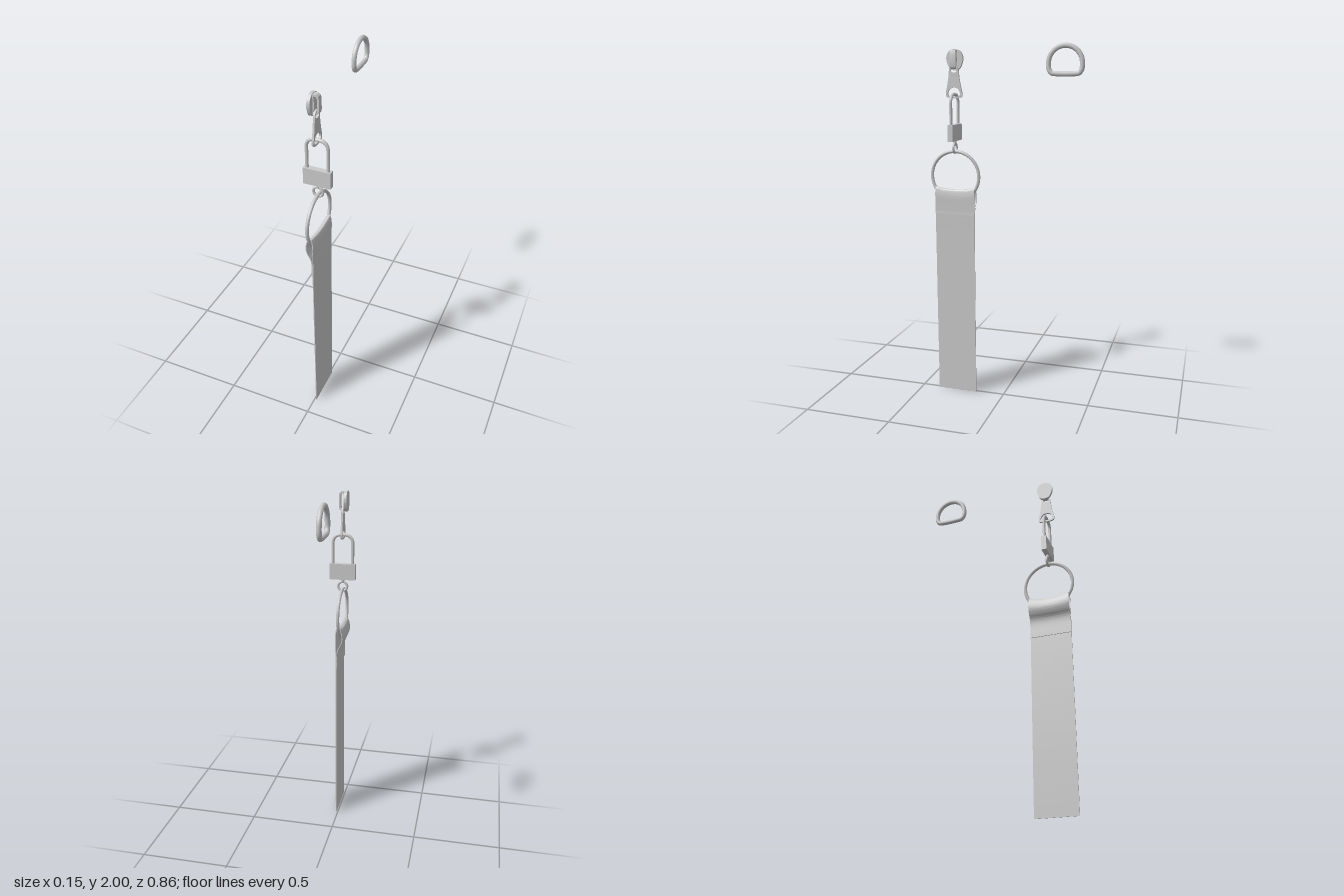
import * as THREE from 'three';
import { toCreasedNormals } from 'three/addons/utils/BufferGeometryUtils.js';

const ZC = 0.281; // depth of the hanging chain of parts
const mat = new THREE.MeshStandardMaterial({ color: 0xcccccc, side: THREE.DoubleSide });

function add(group, name, geometry, x = 0, y = 0, z = 0) {
  const mesh = new THREE.Mesh(geometry, mat);
  mesh.name = name;
  mesh.position.set(x, y, z);
  group.add(mesh);
  return mesh;
}

const vecs = (pts) => pts.map(([x, y]) => new THREE.Vector2(x, y));

// Closed smooth outline through a few points
function outline(pts, Type = THREE.Shape) {
  const curve = new THREE.CatmullRomCurve3(pts.map(([x, y]) => new THREE.Vector3(x, y, 0)), true, 'centripetal');
  return new Type(curve.getPoints(40).slice(0, -1).map((p) => new THREE.Vector2(p.x, p.y)));
}

// Mirror a right-hand half outline to a full loop
const mirrored = (half) => [...half, ...half.filter(([x]) => x > 0).reverse().map(([x, y]) => [-x, y])];

// Plate drawn in (z, y) and extruded along x, centred on x = 0
function sidePlate(shape, thickness) {
  const g = new THREE.ExtrudeGeometry(shape, { depth: thickness, bevelEnabled: false, curveSegments: 10 });
  g.translate(0, 0, -thickness / 2);
  g.rotateY(-Math.PI / 2);
  return toCreasedNormals(g, 0.6);
}

// Fabric strap folded through the large ring, as one bent ribbon
function strapGeometry() {
  const path = new THREE.CatmullRomCurve3([
    [0.01, 0], [0.012, 0.5], [0.014, 1.0], [0.016, 1.12], [0.016, 1.19], [0.008, 1.219],
    [-0.007, 1.213], [-0.018, 1.185], [-0.02, 1.15], [-0.011, 1.12], [0.003, 1.095], [0.0085, 1.07], [0.0085, 0.98],
  ].map(([x, y]) => new THREE.Vector3(x, y, 0)), false, 'centripetal');
  const outer = [], inner = [];
  const n = 84, h = 0.0025;
  for (let i = 0; i <= n; i++) {
    const p = path.getPoint(i / n), t = path.getTangent(i / n);
    outer.push(new THREE.Vector2(p.x + t.y * h, p.y - t.x * h));
    inner.push(new THREE.Vector2(p.x - t.y * h, p.y + t.x * h));
  }
  const width = 0.232;
  const g = new THREE.ExtrudeGeometry(new THREE.Shape([...outer, ...inner.reverse()]), { depth: width, steps: 10, bevelEnabled: false });
  g.translate(0, 0, -width / 2);
  // The fold sags along the curve of the ring
  const pos = g.attributes.position;
  for (let i = 0; i < pos.count; i++) {
    const y = pos.getY(i), k = pos.getZ(i) / (width / 2);
    const fold = THREE.MathUtils.smoothstep(y, 1.05, 1.2);
    pos.setY(i, y - 0.014 * fold * (1 - k * k));
  }
  return toCreasedNormals(g, 0.7);
}

function createLock() {
  const lock = new THREE.Group();
  lock.name = 'claspLock';
  add(lock, 'claspBody', new THREE.BoxGeometry(0.146, 0.09, 0.03), 0, 1.525, 0);
  // Shackle: two legs with rounded shoulders
  const pts = [];
  const w = 0.056, r = 0.042, top = 1.732;
  for (let i = 0; i <= 4; i++) pts.push(new THREE.Vector3(-w, 1.56 + 0.13 * i / 4, 0));
  for (const [cx, start] of [[-w + r, Math.PI], [w - r, Math.PI / 2]]) {
    for (let i = start === Math.PI ? 1 : 0; i <= 5; i++) {
      const a = start - (i / 5) * Math.PI / 2;
      pts.push(new THREE.Vector3(cx + r * Math.cos(a), top - r + r * Math.sin(a), 0));
    }
  }
  for (let i = 1; i <= 4; i++) pts.push(new THREE.Vector3(w, 1.69 - 0.13 * i / 4, 0));
  add(lock, 'shackle', new THREE.TubeGeometry(new THREE.CatmullRomCurve3(pts), 48, 0.009, 8));
  // Swivel eye under the body
  add(lock, 'swivelPost', new THREE.CylinderGeometry(0.01, 0.01, 0.02, 12), 0, 1.474, 0);
  add(lock, 'swivelEye', new THREE.TorusGeometry(0.026, 0.007, 8, 28), 0, 1.44, 0);
  return lock;
}

function createSlider() {
  const slider = new THREE.Group();
  slider.name = 'zipSlider';
  // Egg-shaped back plate and the raised core on it
  const egg = mirrored([[0, 1.972], [0.03, 1.963], [0.047, 1.93], [0.041, 1.895], [0.024, 1.866], [0, 1.86]]);
  add(slider, 'sliderPlate', sidePlate(outline(egg), 0.016), -0.019);
  add(slider, 'sliderCore', new THREE.BoxGeometry(0.007, 0.09, 0.026), -0.0085, 1.917, 0);
  // Bridge: bent strip with an opening for the pull tab
  const bridge = new THREE.Shape(vecs([
    [-0.012, 1.968], [0.008, 1.968], [0.018, 1.96], [0.021, 1.945], [0.021, 1.89],
    [0.018, 1.875], [0.008, 1.866], [-0.012, 1.866]]));
  bridge.holes.push(new THREE.Path(vecs([
    [-0.006, 1.958], [-0.006, 1.876], [0.006, 1.876], [0.012, 1.89], [0.012, 1.945], [0.006, 1.958]])));
  const g = new THREE.ExtrudeGeometry(bridge, { depth: 0.03, bevelEnabled: false });
  g.translate(0, 0, -0.015);
  add(slider, 'sliderBridge', toCreasedNormals(g, 0.6));
  // Pull tab with a small top hole and a wide lower hole
  const tab = outline(mirrored([[0, 1.887], [0.02, 1.88], [0.027, 1.86], [0.029, 1.835], [0.036, 1.79],
    [0.047, 1.735], [0.043, 1.718], [0, 1.71]]));
  tab.holes.push(outline(mirrored([[0, 1.878], [0.016, 1.87], [0.017, 1.855], [0, 1.848]]), THREE.Path));
  tab.holes.push(outline(mirrored([[0, 1.768], [0.022, 1.762], [0.036, 1.735], [0.03, 1.724], [0, 1.72]]), THREE.Path));
  add(slider, 'pullTab', sidePlate(tab, 0.01));
  return slider;
}

// D-shaped ring in the (z, y) plane
function dRingGeometry() {
  const pts = [];
  for (let i = 0; i <= 12; i++) {
    const a = (i / 12) * Math.PI;
    pts.push([0.09 * Math.cos(a), 1.897 + 0.09 * Math.sin(a)]);
  }
  pts.push([-0.088, 1.868], [-0.074, 1.847], [-0.05, 1.843], [0.05, 1.843], [0.074, 1.847], [0.088, 1.868]);
  const path = new THREE.CatmullRomCurve3(pts.map(([z, y]) => new THREE.Vector3(0, y, z)), true, 'centripetal');
  return new THREE.TubeGeometry(path, 64, 0.0135, 8, true);
}

export function createModel() {
  const model = new THREE.Group();
  model.name = 'keyFob';

  add(model, 'strap', strapGeometry(), 0, 0, ZC);
  add(model, 'largeRing', new THREE.TorusGeometry(0.138, 0.0095, 6, 48), 0, 1.283, ZC).rotation.y = Math.PI / 2;

  const lock = createLock();
  const slider = createSlider();
  lock.position.z = slider.position.z = ZC;
  model.add(lock, slider);

  add(model, 'dRing', dRingGeometry(), -0.029, 0, -0.328);
  return model;
}
